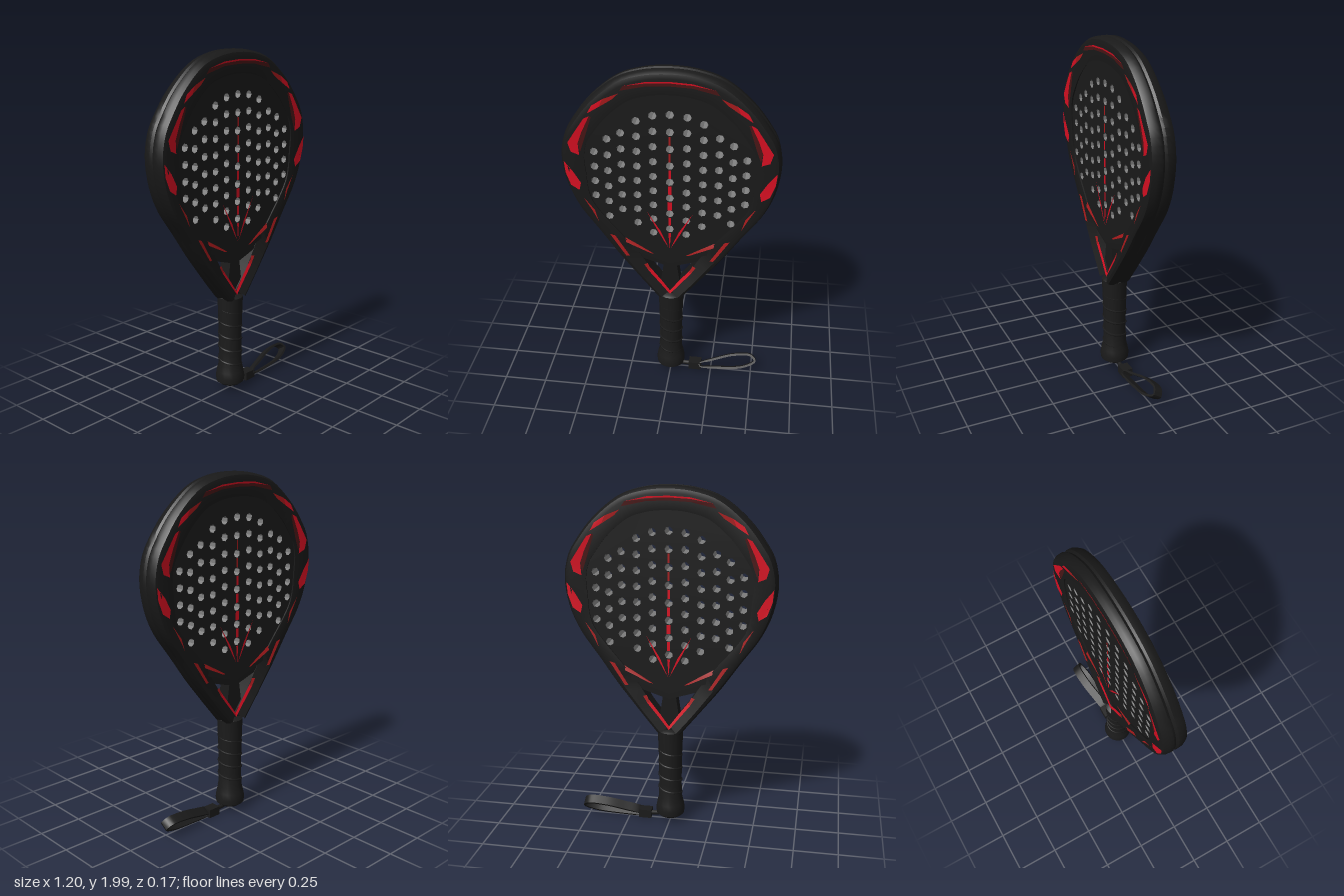
import * as THREE from 'three';
import { toCreasedNormals } from 'three/addons/utils/BufferGeometryUtils.js';

const material = (name, color) => {
  const m = new THREE.MeshStandardMaterial({ color });
  m.name = name;
  return m;
};
const V = (x, y) => new THREE.Vector2(x, y);
const lerp = THREE.MathUtils.lerp, smooth = THREE.MathUtils.smoothstep;

// Move each point of a counter-clockwise line inward by d(point)
function inset(pts, d, closed = false) {
  const n = pts.length;
  return pts.map((p, i) => {
    const a = closed ? pts[(i + n - 1) % n] : pts[Math.max(i - 1, 0)];
    const b = closed ? pts[(i + 1) % n] : pts[Math.min(i + 1, n - 1)];
    const t = b.clone().sub(a).normalize(), k = d(p);
    return V(p.x - t.y * k, p.y + t.x * k);
  });
}

// Slab centred on z = 0
function slab(shape, half) {
  const g = new THREE.ExtrudeGeometry(shape, { depth: half * 2, bevelEnabled: false, curveSegments: 6 });
  return g.translate(0, 0, -half);
}

// Racket outline, from the right of the throat over the top to the left
const half = [[0.065, 0.575], [0.19, 0.73], [0.3, 0.87], [0.41, 1.03], [0.515, 1.18], [0.575, 1.32],
  [0.598, 1.47], [0.577, 1.6], [0.53, 1.69], [0.43, 1.82], [0.29, 1.935], [0.15, 1.985]];
const outline = new THREE.SplineCurve([
  ...half.map(([x, y]) => V(x, y)), V(0, 2), ...half.map(([x, y]) => V(-x, y)).reverse(),
]).getSpacedPoints(90);

// Rim cross-section: fraction of the rim width from the outside, and z; the inner edge drops in the throat
const FACE_Z = 0.056;
const innerZ = (y) => lerp(0.044, 0.064, smooth(y, 0.8, 0.92));
const section = (y) => [[1, innerZ(y)], [0.3, 0.074], [0.12, 0.067], [0.02, 0.044], [0, 0.014], [0.06, 0]];
const rimWidth = (y) => 0.082 + 0.02 * smooth(y, 0.68, 0.84) - 0.017 * smooth(y, 0.9, 1.08)
  + 0.045 * smooth(y, 1.12, 1.4);
const rimScale = (y) => 1 - 0.12 * smooth(y, 1.65, 2);

function rimGeometry() {
  const loopAt = (y) => {
    const s = section(y);
    return [...s, ...s.slice(0, -1).reverse().map(([f, z]) => [f, -z])];
  };
  const lines = loopAt(1).map(([f]) => inset(outline, (p) => f * rimWidth(p.y)));
  const m = lines.length, pos = [], idx = [];
  outline.forEach((o, i) => loopAt(o.y).forEach(([, z], j) => {
    pos.push(lines[j][i].x, lines[j][i].y, z * rimScale(o.y));
    if (i === outline.length - 1) return;
    const k = (j + 1) % m, a = i * m + j, b = i * m + k;
    idx.push(a, b, a + m, b, b + m, a + m);
  }));
  const g = new THREE.BufferGeometry();
  g.setAttribute('position', new THREE.Float32BufferAttribute(pos, 3));
  g.setIndex(idx);
  return toCreasedNormals(g, 0.6);
}

// Height of the front surface at a point, for laying paint on it
function surfaceZ(x, y) {
  const p = V(x, y);
  const f = Math.min(...outline.map((o) => o.distanceTo(p))) / rimWidth(y);
  if (f >= 1) return Math.min(FACE_Z, innerZ(y));
  if (f >= 0.3) return lerp(0.074, innerZ(y), (f - 0.3) / 0.7) * rimScale(y);
  return lerp(0.067, 0.074, Math.max(0, (f - 0.12) / 0.18)) * rimScale(y);
}

function paintGeometry(points) {
  const g = new THREE.ShapeGeometry(new THREE.Shape(points.map(([x, y]) => V(x, y))));
  const p = g.attributes.position;
  for (let i = 0; i < p.count; i++) p.setZ(i, surfaceZ(p.getX(i), p.getY(i)) + 0.004);
  g.computeVertexNormals();
  return g;
}

export function createModel() {
  const model = new THREE.Group();
  model.name = 'racket';
  const faceBlack = material('face black', 0x1a1a1a);
  const frameBlack = material('frame black', 0x191919);
  const gripBlack = material('grip black', 0x1b1b1b);
  const holeGrey = material('hole grey', 0x808080);
  const red = material('red', 0xd80f22);
  const darkRed = material('dark red', 0xa81a1c);
  const maroon = material('maroon', 0x4a1616);
  const add = (name, geometry, mat, parent = model) => {
    const mesh = new THREE.Mesh(geometry, mat);
    mesh.name = name;
    parent.add(mesh);
    return mesh;
  };

  // Perforated hitting face, the hole walls in grey
  const edge = inset(outline, () => 0.06).filter((p) => p.y > 0.91);
  const face = new THREE.Shape([...edge, V(0, 0.825)]);
  const columns = [ // x, highest hole, lowest hole, count
    [0, 1.76, 1.06, 8], [0.092, 1.75, 1.03, 9], [0.18, 1.715, 1.09, 8],
    [0.265, 1.64, 1.17, 6], [0.34, 1.6, 1.12, 6], [0.413, 1.52, 1.25, 4],
  ];
  for (const [cx, top, bottom, count] of columns) {
    for (const x of cx ? [cx, -cx] : [0]) {
      for (let i = 0; i < count; i++) {
        const y = lerp(top, bottom, i / (count - 1));
        const ring = [];
        for (let k = 0; k < 7; k++) {
          const a = -k / 7 * Math.PI * 2;
          ring.push(V(x + 0.023 * Math.cos(a), y + 0.023 * Math.sin(a)));
        }
        face.holes.push(new THREE.Path([...ring, ring[0].clone()]));
      }
    }
  }
  add('face', slab(face, FACE_Z), [faceBlack, holeGrey]);

  // Grooved rim running down into the throat arms
  add('rim', rimGeometry(), frameBlack);

  // Recessed chevron under the face and strut in the throat
  add('throatChevron', slab(new THREE.Shape([V(0, 0.79), V(0.15, 0.838), V(0.21, 0.87), V(0.26, 0.96),
    V(0, 0.86), V(-0.26, 0.96), V(-0.21, 0.87), V(-0.15, 0.838)]), 0.042), frameBlack);
  add('throatStrut', slab(new THREE.Shape([V(0.06, 0.575), V(0.055, 0.69), V(0.036, 0.82),
    V(-0.036, 0.82), V(-0.055, 0.69), V(-0.06, 0.575)]), 0.036), frameBlack);

  // Paint on the right half, mirrored across x and repeated on the back
  const halfPaint = [
    ['upperSidePatch', red, [[0.425, 1.735], [0.455, 1.72], [0.495, 1.66], [0.55, 1.575], [0.535, 1.52],
      [0.49, 1.5], [0.495, 1.57], [0.47, 1.64]]],
    ['upperSideShade', maroon, [[0.415, 1.73], [0.425, 1.735], [0.47, 1.64], [0.495, 1.57], [0.485, 1.52],
      [0.46, 1.59]]],
    ['lowerSidePatch', red, [[0.578, 1.46], [0.572, 1.39], [0.545, 1.315], [0.5, 1.285], [0.49, 1.33], [0.53, 1.4]]],
    ['shoulderPatch', darkRed, [[0.265, 1.87], [0.35, 1.835], [0.37, 1.79], [0.3, 1.835]]],
    ['shoulderTip', red, [[0.35, 1.835], [0.41, 1.795], [0.435, 1.75], [0.37, 1.79]]],
    ['topLine', red, [[0, 1.948], [0.12, 1.942], [0.24, 1.913], [0.12, 1.933], [0, 1.939]]],
    ['topBand', maroon, [[0, 1.939], [0.12, 1.933], [0.24, 1.913], [0.26, 1.885], [0.12, 1.917], [0, 1.922]]],
    ['innerSideLine', darkRed, [[0.48, 1.24], [0.43, 1.15], [0.4, 1.09], [0.42, 1.16]]],
    ['armLine', darkRed, [[0.34, 1.01], [0.25, 0.87], [0.23, 0.87], [0.31, 1.0]]],
    ['faceBottomLine', darkRed, [[0.255, 0.985], [0.25, 0.958], [0.11, 0.888], [0.09, 0.886], [0.17, 0.935]]],
    ['throatVee', red, [[0, 0.603], [0.06, 0.68], [0.13, 0.77], [0.115, 0.78], [0.05, 0.695], [0, 0.625]]],
    ['throatPatch', darkRed, [[0.13, 0.81], [0.15, 0.805], [0.125, 0.765], [0.11, 0.765]]],
    ['innerRay', red, [[0.004, 0.93], [0.05, 1.04], [0.13, 1.17], [0.06, 1.03]]],
    ['outerRay', red, [[0.004, 0.93], [0.035, 1.0], [0.075, 1.06], [0.03, 0.975]]],
  ];
  const paint = new THREE.Group();
  paint.name = 'frontPaint';
  for (const [name, mat, pts] of halfPaint) {
    add(name + 'Left', paintGeometry(pts), mat, paint);
    add(name + 'Right', paintGeometry(pts.map(([x, y]) => [-x, y])), mat, paint);
  }
  // Centre stripe, broken by the holes
  [0.005, 0.006, 0.007, 0.009, 0.012, 0.008].forEach((w, i) => {
    const y = 1.61 - i * 0.1;
    add('centreDash', paintGeometry([[-w, y - 0.026], [w, y - 0.026], [w, y + 0.026], [-w, y + 0.026]]),
      i < 2 ? darkRed : red, paint);
  });
  add('centreTail', paintGeometry([[0, 0.93], [0.008, 1.035], [-0.008, 1.035]]), red, paint);
  model.add(paint);
  const backPaint = paint.clone();
  backPaint.name = 'backPaint';
  backPaint.rotation.y = Math.PI;
  model.add(backPaint);

  // Grip with a flared butt and a spiral wrap
  const profile = [[0, 0.035], [0.06, 0.038], [0.082, 0.055], [0.086, 0.085], [0.08, 0.12], [0.07, 0.16],
    [0.067, 0.25], [0.069, 0.42], [0.072, 0.5], [0.075, 0.585], [0.06, 0.595], [0, 0.6]];
  add('grip', toCreasedNormals(new THREE.LatheGeometry(profile.map(([x, y]) => V(x, y)), 20), 0.7), gripBlack);
  const wrap = [];
  for (let i = 0; i <= 80; i++) {
    const a = i / 80 * Math.PI * 10;
    wrap.push(new THREE.Vector3(0.066 * Math.cos(a), 0.15 + 0.4 * i / 80, 0.066 * Math.sin(a)));
  }
  add('gripWrap', new THREE.TubeGeometry(new THREE.CatmullRomCurve3(wrap), 120, 0.007, 5), gripBlack);

  // Wrist strap: cord, slider and a flat loop leaning backwards
  const cord = new THREE.CatmullRomCurve3([[0, 0.05], [0.05, 0.04], [0.13, 0.035]]
    .map(([x, y]) => new THREE.Vector3(x, y, 0)));
  add('strapCord', new THREE.TubeGeometry(cord, 8, 0.013, 6), gripBlack);
  add('strapSlider', new THREE.BoxGeometry(0.075, 0.05, 0.06).translate(0.152, 0.036, 0), gripBlack);
  const loop = new THREE.CatmullRomCurve3([[0.18, -0.01], [0.33, -0.013], [0.46, 0.006], [0.53, 0.05],
    [0.5, 0.09], [0.39, 0.086], [0.28, 0.052], [0.18, 0.01]]
    .map(([x, y]) => new THREE.Vector3(x, y, 0)), true).getSpacedPoints(48).slice(0, -1).map((p) => V(p.x, p.y));
  const strap = new THREE.Shape(loop);
  strap.holes.push(new THREE.Path(inset(loop, (p) => lerp(0.006, 0.013, smooth(p.x, 0.18, 0.24)), true)));
  const strapLoop = add('strapLoop', toCreasedNormals(slab(strap, 0.027), 0.6), gripBlack);
  strapLoop.position.set(0, 0.037, 0.01);
  strapLoop.rotation.x = -0.6;

  return model;
}
